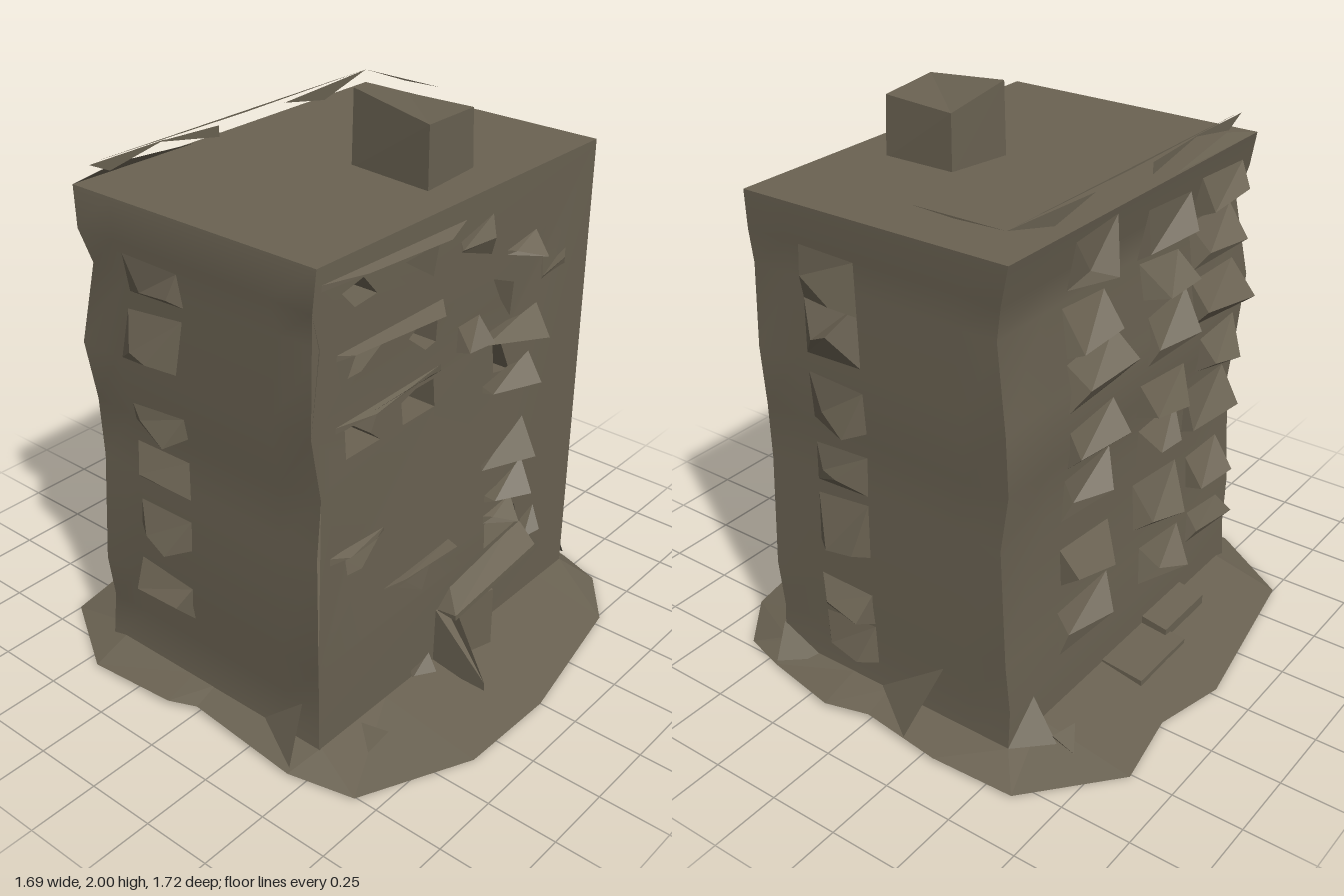
import * as THREE from 'three';

const stone = new THREE.MeshStandardMaterial({ color: 0x6a6252 });
stone.name = 'weatheredStone';
const stoneThin = stone.clone();
stoneThin.side = THREE.DoubleSide;

// wavy corner posts: height, left x, right x, front z, back z
const LEVELS = [
  [0.04, -0.71, 0.69, 0.48, -0.50], [0.20, -0.69, 0.68, 0.48, -0.50],
  [0.38, -0.72, 0.69, 0.49, -0.49], [0.80, -0.71, 0.68, 0.48, -0.465],
  [1.00, -0.695, 0.68, 0.485, -0.495], [1.22, -0.73, 0.70, 0.48, -0.50],
  [1.50, -0.70, 0.68, 0.49, -0.455], [1.62, -0.73, 0.695, 0.49, -0.48],
  [1.75, -0.71, 0.70, 0.49, -0.51],
];

let state = 7;
const rand = () => (state = (state * 16807) % 2147483647) / 2147483647;
const vary = (s) => (rand() - 0.5) * 2 * s;

// corners run front left of screen, front right, back right, back left
function corner(k, y) {
  let i = 0;
  while (i < LEVELS.length - 2 && y > LEVELS[i + 1][0]) i++;
  const a = LEVELS[i], b = LEVELS[i + 1];
  const t = (y - a[0]) / (b[0] - a[0]);
  const m = a.map((v, j) => v + (b[j] - v) * t);
  k %= 4;
  return new THREE.Vector3(k === 1 || k === 2 ? m[2] : m[1], y, k < 2 ? m[3] : m[4]);
}

// point on wall k, u across as seen from outside, pushed out by d
function onWall(k, u, y, d = 0) {
  const a = corner(k, y), b = corner(k + 1, y);
  const out = new THREE.Vector3(a.z - b.z, 0, b.x - a.x).normalize();
  return a.lerp(b, u).addScaledVector(out, d);
}

function add(group, geo, name, mat = stone) {
  const mesh = new THREE.Mesh(geo, mat);
  mesh.name = name;
  group.add(mesh);
}

// flat-faced geometry from points and triangles
function facets(points, tris) {
  const geo = new THREE.BufferGeometry().setFromPoints(tris.map((i) => points[i]));
  geo.computeVertexNormals();
  return geo;
}

// bend a flat (u, y) geometry onto wall k
function bend(geo, k) {
  const p = geo.attributes.position;
  for (let i = 0; i < p.count; i++) {
    const v = onWall(k, p.getX(i), p.getY(i));
    p.setXYZ(i, v.x, v.y, v.z);
  }
  geo.computeVertexNormals();
  return geo;
}

// jagged awning on wall k, open at the back; taper pulls its left end to a point
function ledge(k, u, y, w, h, d, taper = 1) {
  const len = k % 2 ? 0.98 : 1.4, s = w / len / 2;
  const tip = y - h * 0.25 + vary(h * 0.25);
  const pts = [
    onWall(k, u - s, y - h / 2 * taper), onWall(k, u + s, y - h / 2 + vary(0.02)),
    onWall(k, u + s, y + h / 2 + vary(0.03)), onWall(k, u - s, y + h / 2 * taper),
    onWall(k, u - s * (0.3 + rand() * 0.7), tip, d * (0.2 + rand() * 0.6) * taper),
    onWall(k, u + s * (0.3 + rand() * 0.7), tip + vary(0.04), d),
  ];
  return facets(pts, [0, 1, 5, 0, 5, 4, 4, 5, 2, 4, 2, 3, 0, 4, 3, 1, 2, 5]);
}

// box with freely placed corners: bottom loop then top loop
function block(c) {
  const pts = c.map((p) => new THREE.Vector3(...p));
  return facets(pts, [0, 1, 5, 0, 5, 4, 1, 2, 6, 1, 6, 5, 2, 3, 7, 2, 7, 6,
    3, 0, 4, 3, 4, 7, 4, 5, 6, 4, 6, 7, 0, 2, 1, 0, 3, 2]);
}

export function createModel() {
  const model = new THREE.Group();
  model.name = 'ruinedTower';

  // front wall with broken windows, given as x, y loops
  const holes = [
    [-0.59, 1.64, -0.54, 1.58, -0.44, 1.59, -0.50, 1.66], [-0.31, 1.64, -0.18, 1.55, -0.15, 1.65],
    [-0.54, 1.43, -0.57, 1.36, -0.51, 1.36, -0.40, 1.43], [-0.29, 1.38, -0.20, 1.31, -0.15, 1.32, -0.15, 1.42, -0.23, 1.42],
    [-0.57, 1.19, -0.58, 1.09, -0.42, 1.09, -0.46, 1.13, -0.42, 1.19], [-0.31, 1.17, -0.31, 1.09, -0.15, 1.09, -0.15, 1.19, -0.24, 1.19],
    [0.14, 1.43, 0.19, 1.34, 0.25, 1.26, 0.26, 1.38], [0.16, 1.21, 0.17, 1.08, 0.26, 1.06, 0.21, 1.17],
    [-0.58, 0.73, -0.57, 0.67, -0.50, 0.66, -0.41, 0.74], [-0.32, 0.49, -0.19, 0.41, -0.15, 0.49],
    [0.16, 0.49, 0.16, 0.39, 0.36, 0.41, 0.34, 0.49],
  ];
  const outline = LEVELS.map((l) => new THREE.Vector2(1, l[0]));
  outline.push(...LEVELS.map((l) => new THREE.Vector2(0, l[0])).reverse());
  const front = new THREE.Shape(outline);
  for (const h of holes) {
    const loop = [];
    for (let i = 0; i < h.length; i += 2) loop.push(new THREE.Vector2((h[i] + 0.71) / 1.4, h[i + 1]));
    front.holes.push(new THREE.Path(loop));

    // reveal running straight back from the opening
    const pts = [], tris = [], n = loop.length;
    for (const p of loop) {
      const v = onWall(0, p.x, p.y);
      pts.push(v, v.clone().setZ(0.24));
    }
    for (let i = 0; i < n; i++) {
      const j = (i + 1) % n;
      tris.push(2 * i, 2 * j, 2 * j + 1, 2 * i, 2 * j + 1, 2 * i + 1);
    }
    add(model, facets(pts, tris), 'windowReveal');
  }
  add(model, bend(new THREE.ShapeGeometry(front), 0), 'frontWall');

  // plain walls, with one row of vertices at each level so the corners meet
  ['rightWall', 'backWall', 'leftWall'].forEach((name, i) => {
    const panel = new THREE.PlaneGeometry(1, 1, 6, LEVELS.length - 1);
    panel.translate(0.5, 0, 0);
    const p = panel.attributes.position;
    for (let v = 0; v < p.count; v++) p.setY(v, LEVELS[LEVELS.length - 1 - Math.floor(v / 7)][0]);
    add(model, bend(panel, i + 1), name);
  });

  // roof
  const roof = [0, 1, 2, 3].map((k) => corner(k, 1.75));
  add(model, facets(roof, [0, 1, 2, 0, 2, 3]), 'roof');
  add(model, block([[-0.05, 1.74, 0.36], [0.21, 1.74, 0.34], [0.21, 1.74, 0.07], [-0.02, 1.74, 0.03],
    [-0.05, 1.96, 0.36], [0.20, 1.95, 0.34], [0.21, 1.94, 0.07], [-0.01, 2.0, 0.03]]), 'roofHut');

  // slivers of broken parapet
  const slivers = [
    [-0.68, 1.815, -0.46, -0.36, 1.815, -0.46, -0.60, 1.775, -0.46],
    [-0.40, 1.815, -0.46, -0.12, 1.80, -0.46, -0.12, 1.76, -0.46],
    [-0.68, 1.82, -0.46, 0.64, 1.82, -0.46, 0, 1.814, -0.46],
    [0.20, 1.80, -0.46, 0.64, 1.82, -0.46, 0.41, 1.76, -0.46],
    [0.64, 1.82, -0.46, 0.64, 1.82, -0.12, 0.64, 1.814, -0.28],
    [-0.71, 1.75, -0.51, -0.55, 1.785, -0.48, -0.20, 1.75, -0.50],
  ];
  for (const s of slivers) {
    const pts = [0, 3, 6].map((i) => new THREE.Vector3(s[i], s[i + 1], s[i + 2]));
    add(model, facets(pts, [0, 1, 2]), 'parapetSliver', stoneThin);
  }

  // front ledges: centre x, y, width, height, depth, taper
  const frontLedges = [
    [-0.35, 1.685, 0.66, 0.02, 0.03, 1], [-0.38, 1.445, 0.50, 0.02, 0.04, 1], [-0.36, 1.205, 0.5, 0.02, 0.03, 1],
    [0.04, 1.60, 0.16, 0.12, 0.03, 0.3], [0.29, 1.50, 0.16, 0.08, 0.08, 0.2], [0.49, 1.38, 0.14, 0.10, 0.01, 1],
    [0.02, 1.28, 0.11, 0.09, 0.09, 1], [0.24, 1.235, 0.32, 0.07, 0.10, 0.1], [0.24, 1.04, 0.26, 0.12, 0.09, 0.2],
    [0.24, 0.78, 0.24, 0.15, 0.09, 0.1], [0.26, 0.60, 0.22, 0.10, 0.09, 0.3], [0.42, 0.37, 0.08, 0.13, 0.05, 0.5],
    [-0.53, 0.765, 0.28, 0.03, 0.03, 1], [-0.22, 0.52, 0.34, 0.03, 0.05, 0.2], [0.23, 0.515, 0.16, 0.03, 0.07, 1],
    [-0.19, 0.09, 0.10, 0.07, 0.06, 0.2],
  ];
  for (const [x, y, w, h, d, t] of frontLedges) add(model, ledge(0, (x + 0.71) / 1.4, y, w, h, d, t), 'frontLedge');

  // side ledges, one column on each side
  for (const [y, h] of [[1.53, 0.18], [1.35, 0.18], [1.11, 0.17], [0.86, 0.14], [0.65, 0.18], [0.36, 0.13], [0.21, 0.12]]) {
    add(model, ledge(1, 0.33, y, 0.22, h, 0.08), 'rightLedge');
  }
  for (const [y, h] of [[1.52, 0.13], [1.31, 0.17], [1.02, 0.06], [0.85, 0.13], [0.65, 0.10], [0.39, 0.15]]) {
    add(model, ledge(3, 0.31, y, 0.24, h, 0.07), 'leftLedge');
  }

  // back ledges in three columns
  for (const y of [1.60, 1.42, 1.22, 1.01, 0.80, 0.56, 0.33]) {
    for (const u of [0.31, 0.64, 0.86]) {
      add(model, ledge(2, u + vary(0.02), y + vary(0.02), 0.25 + vary(0.04), 0.15 + vary(0.03), 0.09), 'backLedge');
    }
  }

  // entrance with sloping cheek and broken canopy
  add(model, block([[-0.11, 0.04, 0.70], [-0.08, 0.04, 0.56], [-0.06, 0.04, 0.47], [-0.11, 0.04, 0.47],
    [-0.11, 0.07, 0.70], [-0.08, 0.27, 0.56], [-0.06, 0.29, 0.47], [-0.11, 0.29, 0.47]]), 'entranceCheek');
  add(model, block([[-0.06, 0.05, 0.52], [0.11, 0.05, 0.57], [0.12, 0.05, 0.47], [-0.06, 0.05, 0.47],
    [-0.06, 0.28, 0.52], [0.11, 0.28, 0.57], [0.12, 0.29, 0.47], [-0.06, 0.29, 0.47]]), 'entrance');
  add(model, block([[-0.11, 0.27, 0.57], [0.36, 0.32, 0.57], [0.38, 0.33, 0.47], [-0.10, 0.27, 0.47],
    [-0.11, 0.29, 0.57], [0.36, 0.34, 0.57], [0.38, 0.41, 0.47], [-0.02, 0.34, 0.47]]), 'entranceCanopy');

  // ragged ground pad, sloping up to the walls and arched a little underneath
  const rim = [[-0.03, -0.86], [0.23, -0.80], [0.51, -0.85], [0.81, -0.60], [0.83, -0.30], [0.80, 0],
    [0.84, 0.16], [0.78, 0.45], [0.73, 0.61], [0.54, 0.76], [0, 0.86], [-0.37, 0.85], [-0.76, 0.67],
    [-0.82, 0.44], [-0.79, 0], [-0.83, -0.10], [-0.85, -0.44], [-0.66, -0.75]];
  const n = rim.length, tris = [];
  const pad = rim.map(([x, z]) => new THREE.Vector3(x, 0.025 * (1 - Math.abs(z) / 0.86), z));
  for (const [x, z] of rim) {
    pad.push(new THREE.Vector3(THREE.MathUtils.clamp(x, -0.7, 0.69), 0.06, THREE.MathUtils.clamp(z, -0.5, 0.48)));
  }
  pad.push(new THREE.Vector3(0, 0.06, 0), new THREE.Vector3(0, 0.02, 0));
  for (let i = 0; i < n; i++) {
    const j = (i + 1) % n;
    tris.push(i, n + i, j, j, n + i, n + j, n + i, 2 * n, n + j, i, j, 2 * n + 1);
  }
  add(model, facets(pad, tris), 'groundPad');

  // earth banked against the walls
  const banks = [
    [0.69, 0.26, -0.24, 0.82, 0.03, -0.17, 0.69, 0.06, 0.03],
    [0.69, 0.13, 0.48, 0.78, 0.03, 0.44, 0.69, 0.05, 0.30],
    [-0.70, 0.20, 0.40, -0.81, 0.03, 0.44, -0.71, 0.06, 0.24],
    [0.55, 0.18, -0.50, 0.56, 0.04, -0.60, 0.69, 0.06, -0.50],
  ];
  for (const b of banks) {
    const pts = [0, 3, 6].map((i) => new THREE.Vector3(b[i], b[i + 1], b[i + 2]));
    add(model, facets(pts, [0, 1, 2]), 'earthBank', stoneThin);
  }

  // back steps and loose rubble
  const slab = (x0, x1, z0, y) => add(model, block([[x1, 0.02, -0.48], [x1, 0.02, z0],
    [x0, 0.02, z0], [x0, 0.02, -0.48], [x1, y, -0.48], [x1, y - 0.02, z0], [x0, y - 0.02, z0], [x0, y, -0.48]]), 'backStep');
  slab(-0.15, 0.14, -0.66, 0.07);
  slab(-0.38, -0.12, -0.60, 0.10);
  for (const [x, z] of [[0.55, -0.62], [-0.55, 0.58]]) {
    const chip = new THREE.TetrahedronGeometry(0.06);
    chip.rotateY(x);
    chip.translate(x, 0.07, z);
    add(model, chip, 'rubble');
  }
  return model;
}
